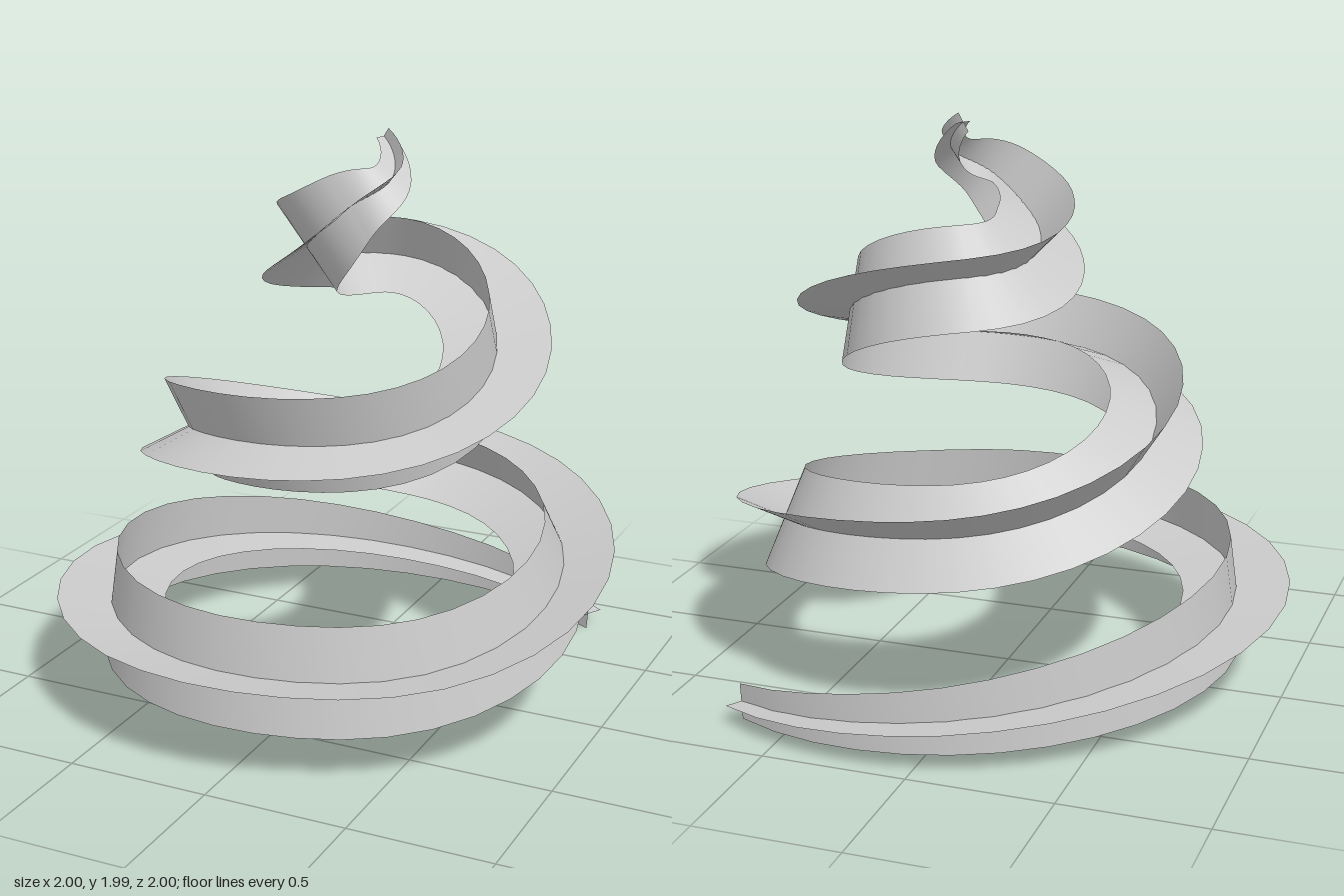
import * as THREE from 'three';

// One key per quarter turn, starting a quarter before the back:
// [radius, height, strip width, roll in degrees]
const KEYS = [
  [1.08, -0.01, 0.03, 0],
  [0.90, 0.14, 0.21, 2],
  [0.895, 0.315, 0.37, 7],
  [0.815, 0.355, 0.37, 10],
  [0.745, 0.49, 0.37, 19],
  [0.60, 0.665, 0.37, 37],
  [0.60, 0.885, 0.37, 58],
  [0.55, 1.06, 0.37, 72],
  [0.49, 1.23, 0.37, 94],
  [0.37, 1.485, 0.37, 121],
  [0.197, 1.575, 0.37, 145],
  [0.112, 1.745, 0.26, 179],
  [0.12, 1.845, 0.14, 230],
  [0.11, 1.985, 0.06, 280],
];
const START = 0.57, END = 12.76, STEPS = 110, CENTRE_X = 0.08;

// Smooth interpolation of one key column
function sample(column, u) {
  const i = Math.min(Math.floor(u), KEYS.length - 2), f = u - i;
  const at = (k) => KEYS[Math.max(0, Math.min(KEYS.length - 1, k))][column];
  const [a, b, c, d] = [at(i - 1), at(i), at(i + 1), at(i + 2)];
  return b + 0.5 * f * (c - a + f * (2 * a - 5 * b + 4 * c - d + f * (3 * (b - c) + d - a)));
}

// The middle turns climb faster at the sides than at the front and back
function surge(u) {
  const { smoothstep } = THREE.MathUtils;
  return Math.sin(Math.PI * u) * smoothstep(u, 2.5, 3.5) * (1 - smoothstep(u, 9, 10.5));
}

// Point on the climbing spiral; u counts quarter turns
function spiralPoint(u) {
  const angle = (u - 1) * Math.PI / 2, r = sample(0, u);
  const y = sample(1, u) + 0.033 * surge(u);
  return new THREE.Vector3(CENTRE_X - r * Math.sin(angle), y, -r * Math.cos(angle));
}

// Thin ribbon swept along the spiral, rolled about its path
function ribbon(rollOffset) {
  const positions = [], index = [];
  const up = new THREE.Vector3(0, 1, 0);
  for (let s = 0; s <= STEPS; s++) {
    const u = START + (END - START) * s / STEPS;
    const p = spiralPoint(u);
    const tangent = spiralPoint(u + 0.02).sub(spiralPoint(u - 0.02)).normalize();
    const outward = tangent.clone().cross(up).normalize();
    const upward = outward.clone().cross(tangent);
    const roll = THREE.MathUtils.degToRad(sample(3, u) + 3 * surge(u) + rollOffset);
    const arm = outward.multiplyScalar(Math.cos(roll)).addScaledVector(upward, Math.sin(roll));
    for (const side of [-0.5, 0.5]) {
      positions.push(...p.clone().addScaledVector(arm, side * sample(2, u)).toArray());
    }
    if (s < STEPS) {
      const a = s * 2;
      index.push(a, a + 1, a + 2, a + 1, a + 3, a + 2);
    }
  }
  const geometry = new THREE.BufferGeometry();
  geometry.setAttribute('position', new THREE.Float32BufferAttribute(positions, 3));
  geometry.setIndex(index);
  geometry.computeVertexNormals();
  return geometry;
}

export function createModel() {
  const group = new THREE.Group();
  group.name = 'spiralTree';
  const material = new THREE.MeshStandardMaterial({ color: 0xcccccc, side: THREE.DoubleSide });
  // Two ribbons crossing at right angles
  [['flatRibbon', 0], ['uprightRibbon', 90]].forEach(([name, offset]) => {
    const mesh = new THREE.Mesh(ribbon(offset), material);
    mesh.name = name;
    group.add(mesh);
  });
  return group;
}
